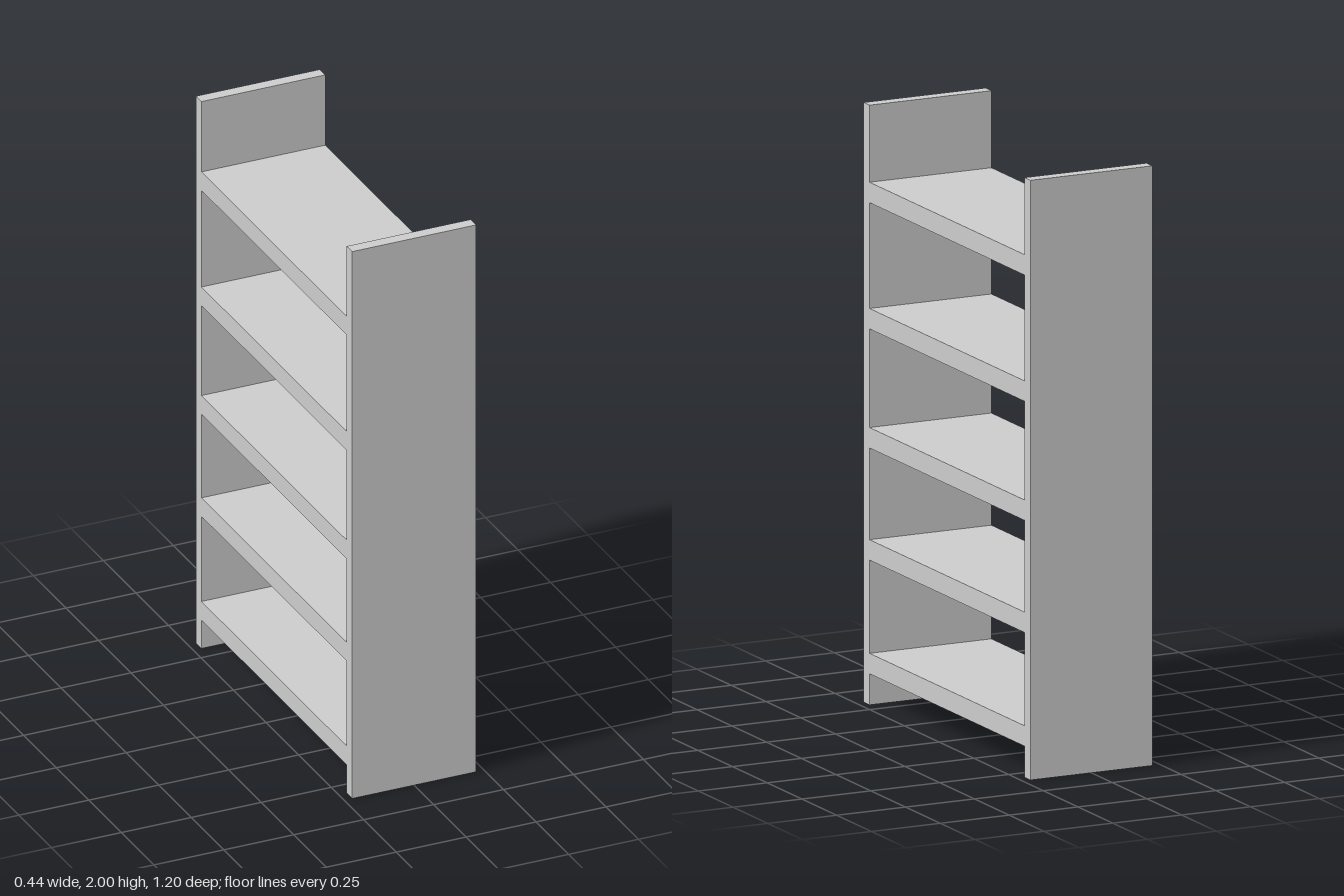
import * as THREE from 'three';

const DEPTH = 0.443;      // along x
const HALF_WIDTH = 0.6;   // along z
const PANEL = 0.042;      // side panel thickness
const SHELF = 0.068;      // shelf thickness

export function createModel() {
  const group = new THREE.Group();
  group.name = 'shelfUnit';
  const material = new THREE.MeshStandardMaterial({ color: 0xcccccc, flatShading: true });

  const addBoard = (name, height, width, y, z) => {
    const board = new THREE.Mesh(new THREE.BoxGeometry(DEPTH, height, width), material);
    board.name = name;
    board.position.set(0, y, z);
    group.add(board);
  };

  // Upright panels at both ends
  addBoard('frontPanel', 2, PANEL, 1, HALF_WIDTH - PANEL / 2);
  addBoard('backPanel', 2, PANEL, 1, -HALF_WIDTH + PANEL / 2);

  // Shelves spanning between the panels, spaced wider towards the top
  [0.138, 0.517, 0.891, 1.288, 1.709].forEach((y, i) =>
    addBoard(`shelf${i + 1}`, SHELF, 2 * (HALF_WIDTH - PANEL), y, 0));

  return group;
}
